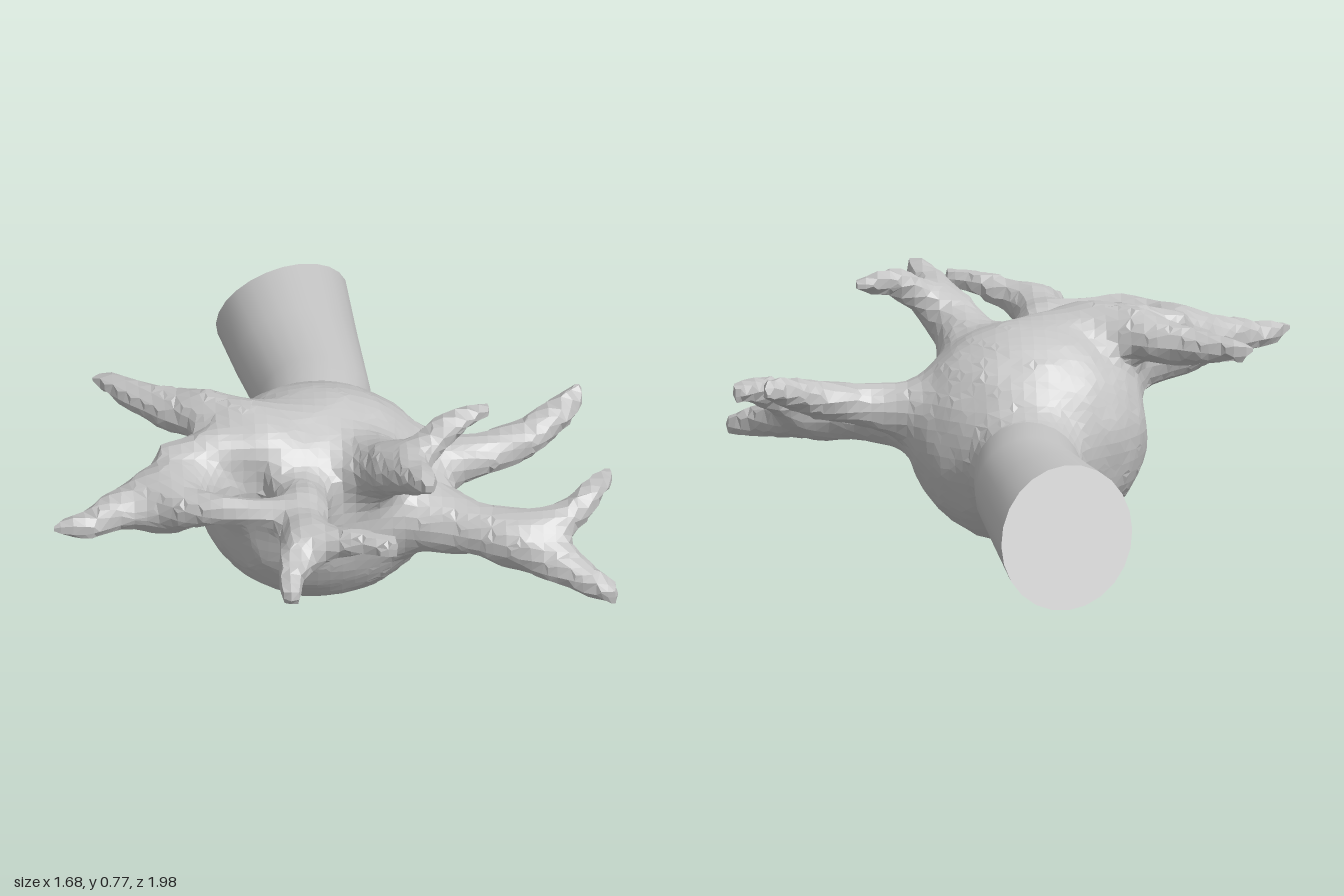
import * as THREE from 'three';
import { toCreasedNormals } from 'three/addons/utils/BufferGeometryUtils.js';

// Arms as chains of tapering limbs; each point is x, y, z, radius
const arms = {
  neck: [[-0.03, 0.3, 0.05, 0.18], [-0.02, 0.3, -0.26, 0.155]],
  rightRearArm: [[-0.06, 0.54, 0.22, 0.11], [-0.22, 0.615, 0.24, 0.095], [-0.36, 0.63, 0.17, 0.08],
    [-0.49, 0.61, 0.09, 0.064], [-0.59, 0.62, 0.02, 0.048], [-0.665, 0.63, -0.04, 0.036]],
  rightFrontArm: [[-0.2, 0.46, 0.24, 0.15], [-0.36, 0.51, 0.32, 0.1], [-0.5, 0.525, 0.44, 0.1],
    [-0.64, 0.525, 0.49, 0.064], [-0.74, 0.51, 0.55, 0.046], [-0.82, 0.52, 0.58, 0.034]],
  rightShoulderRidge: [[-0.04, 0.54, 0.31, 0.08], [-0.18, 0.6, 0.33, 0.07], [-0.34, 0.62, 0.32, 0.06],
    [-0.49, 0.61, 0.34, 0.04]],
  archArm: [[-0.5, 0.53, 0.46, 0.09], [-0.44, 0.56, 0.55, 0.064], [-0.32, 0.59, 0.612, 0.045],
    [-0.21, 0.57, 0.61, 0.045], [-0.12, 0.55, 0.57, 0.05]],
  middleArm: [[-0.1, 0.44, 0.26, 0.15], [-0.11, 0.5, 0.42, 0.09], [-0.1, 0.54, 0.58, 0.07],
    [-0.11, 0.55, 0.74, 0.066], [-0.155, 0.525, 0.87, 0.047], [-0.16, 0.505, 0.975, 0.032]],
  middleFork: [[-0.11, 0.55, 0.72, 0.05], [-0.05, 0.57, 0.77, 0.055], [0.05, 0.6, 0.82, 0.042],
    [0.145, 0.61, 0.865, 0.034]],
  leftUpperArm: [[0.04, 0.44, 0.22, 0.15], [0.12, 0.55, 0.35, 0.1], [0.17, 0.61, 0.45, 0.075],
    [0.21, 0.655, 0.55, 0.063], [0.25, 0.695, 0.64, 0.046], [0.27, 0.71, 0.695, 0.034]],
  leftUpperFork: [[0.17, 0.61, 0.45, 0.055], [0.25, 0.67, 0.45, 0.055], [0.34, 0.735, 0.41, 0.048],
    [0.4, 0.745, 0.37, 0.038], [0.455, 0.74, 0.345, 0.028]],
  leftRearArm: [[0.09, 0.35, 0.12, 0.205], [0.3, 0.41, 0.13, 0.095], [0.44, 0.43, 0.13, 0.066],
    [0.58, 0.46, 0.09, 0.06], [0.69, 0.51, 0.02, 0.05], [0.745, 0.525, -0.05, 0.036]],
  leftFrontArm: [[0.1, 0.32, 0.2, 0.17], [0.27, 0.34, 0.3, 0.11], [0.42, 0.34, 0.38, 0.082],
    [0.57, 0.32, 0.44, 0.082], [0.7, 0.28, 0.53, 0.058], [0.815, 0.245, 0.605, 0.036]],
  leftFrontFork: [[0.52, 0.34, 0.43, 0.065], [0.63, 0.36, 0.42, 0.062], [0.72, 0.4, 0.39, 0.05],
    [0.77, 0.43, 0.33, 0.042], [0.815, 0.44, 0.27, 0.033]],
};

// Distance to a chain of tapering limbs
function armDistance(points, x, y, z) {
  let best = Infinity;
  for (let i = 0; i < points.length - 1; i++) {
    const [ax, ay, az, ar] = points[i], [bx, by, bz, br] = points[i + 1];
    const dx = bx - ax, dy = by - ay, dz = bz - az;
    const t = THREE.MathUtils.clamp(
      ((x - ax) * dx + (y - ay) * dy + (z - az) * dz) / (dx * dx + dy * dy + dz * dz), 0, 1);
    const d = Math.hypot(x - ax - dx * t, y - ay - dy * t, z - az - dz * t);
    best = Math.min(best, d - ar - (br - ar) * t);
  }
  return best;
}

// Round cell body blended softly with every arm, cut off inside the stalk
const cut = -0.23, blend = 0.06;
function cellDistance(x, y, z) {
  const px = (x + 0.037) / 0.36, py = (y - 0.338) / 0.338, pz = (z - 0.14) / 0.28;
  const k0 = Math.hypot(px, py, pz), k1 = Math.hypot(px / 0.36, py / 0.338, pz / 0.28);
  let d = k0 * (k0 - 1) / Math.max(k1, 1e-6);
  for (const points of Object.values(arms)) {
    const e = armDistance(points, x, y, z);
    const h = Math.max(blend - Math.abs(d - e), 0) / blend;
    d = Math.min(d, e) - h * h * blend / 4;
  }
  // gnarled surface
  d += 0.006 * Math.sin(x * 31 + 1) * Math.sin(y * 29) * Math.sin(z * 33);
  return Math.max(d, cut - z);
}

// Faceted skin where a distance rule crosses zero: a vertex per crossed grid cell, a quad per crossed edge
function skinGeometry(distance, min, max, cell) {
  const size = min.map((m, a) => Math.ceil((max[a] - m) / cell) + 1);
  const stride = [1, size[0], size[0] * size[1]];
  const value = new Float32Array(stride[2] * size[2]);
  const eachPoint = fn => {
    for (let k = 0, n = 0; k < size[2]; k++)
      for (let j = 0; j < size[1]; j++)
        for (let i = 0; i < size[0]; i++) fn([i, j, k], n++);
  };
  eachPoint((c, n) => {
    value[n] = distance(...c.map((v, a) => min[a] + v * cell));
  });

  const pos = [], index = [], vertex = new Map();
  eachPoint((c, n) => {
    if (c.some((v, a) => v === size[a] - 1)) return;
    const sum = [0, 0, 0];
    let count = 0;
    for (let corner = 0; corner < 8; corner++) {
      const bits = [corner & 1, corner >> 1 & 1, corner >> 2];
      const p = n + bits[0] * stride[0] + bits[1] * stride[1] + bits[2] * stride[2];
      for (let a = 0; a < 3; a++) {
        const q = p + stride[a];
        if (bits[a] || value[p] < 0 === value[q] < 0) continue;
        const t = value[p] / (value[p] - value[q]);
        for (let b = 0; b < 3; b++) sum[b] += bits[b] + (a === b ? t : 0);
        count++;
      }
    }
    if (!count) return;
    vertex.set(n, pos.length / 3);
    pos.push(...sum.map((s, a) => min[a] + (c[a] + s / count) * cell));
  });
  eachPoint((c, n) => {
    for (let a = 0; a < 3; a++) {
      const sb = stride[(a + 1) % 3], sc = stride[(a + 2) % 3];
      if (c[a] === size[a] - 1 || value[n] < 0 === value[n + stride[a]] < 0) continue;
      const quad = [n, n - sb, n - sb - sc, n - sc].map(m => vertex.get(m));
      if (value[n] >= 0) quad.reverse();
      index.push(quad[0], quad[1], quad[2], quad[0], quad[2], quad[3]);
    }
  });
  const indexed = new THREE.BufferGeometry();
  indexed.setAttribute('position', new THREE.Float32BufferAttribute(pos, 3));
  indexed.setIndex(index);
  const g = indexed.toNonIndexed();
  g.computeVertexNormals();
  return g;
}

// Thick round stalk with a slanted, closed cut at the back
function stalkGeometry() {
  const sections = [ // x, y, z, radius, slant
    [-0.02, 0.30, -0.13, 0.152, 0], [-0.02, 0.30, -0.2, 0.163, 0], [-0.02, 0.297, -0.38, 0.17, 0.1],
    [-0.06, 0.295, -0.64, 0.187, 0.5], [-0.093, 0.30, -0.885, 0.2, 1],
  ];
  const sides = 24, pos = [], index = [];
  for (const [x, y, z, r, slant] of sections) {
    for (let j = 0; j < sides; j++) {
      const a = j / sides * Math.PI * 2, dx = -r * Math.cos(a), dy = r * Math.sin(a);
      pos.push(x + dx, y + dy, z + slant * (-0.4 * dx + 0.42 * dy));
    }
  }
  const end = (sections.length - 1) * sides;
  for (let i = 0; i < end; i += sides) {
    for (let j = 0; j < sides; j++) {
      const k = (j + 1) % sides;
      index.push(i + j, i + k, i + k + sides, i + j, i + k + sides, i + j + sides);
    }
  }
  pos.push(...sections[sections.length - 1].slice(0, 3));
  for (let j = 0; j < sides; j++) index.push(end + j, end + (j + 1) % sides, end + sides);
  const g = new THREE.BufferGeometry();
  g.setAttribute('position', new THREE.Float32BufferAttribute(pos, 3));
  g.setIndex(index);
  return toCreasedNormals(g, 0.6);
}

export function createModel() {
  const model = new THREE.Group();
  model.name = 'branchingCell';
  const grey = new THREE.MeshStandardMaterial({ color: 0xc4c4c4 });
  grey.name = 'grey';
  const add = (name, geometry) => {
    const mesh = new THREE.Mesh(geometry, grey);
    mesh.name = name;
    model.add(mesh);
  };
  add('cellBodyWithArms', skinGeometry(cellDistance, [-0.92, -0.07, -0.3], [0.92, 0.87, 1.08], 0.037));
  add('stalk', stalkGeometry());
  return model;
}
